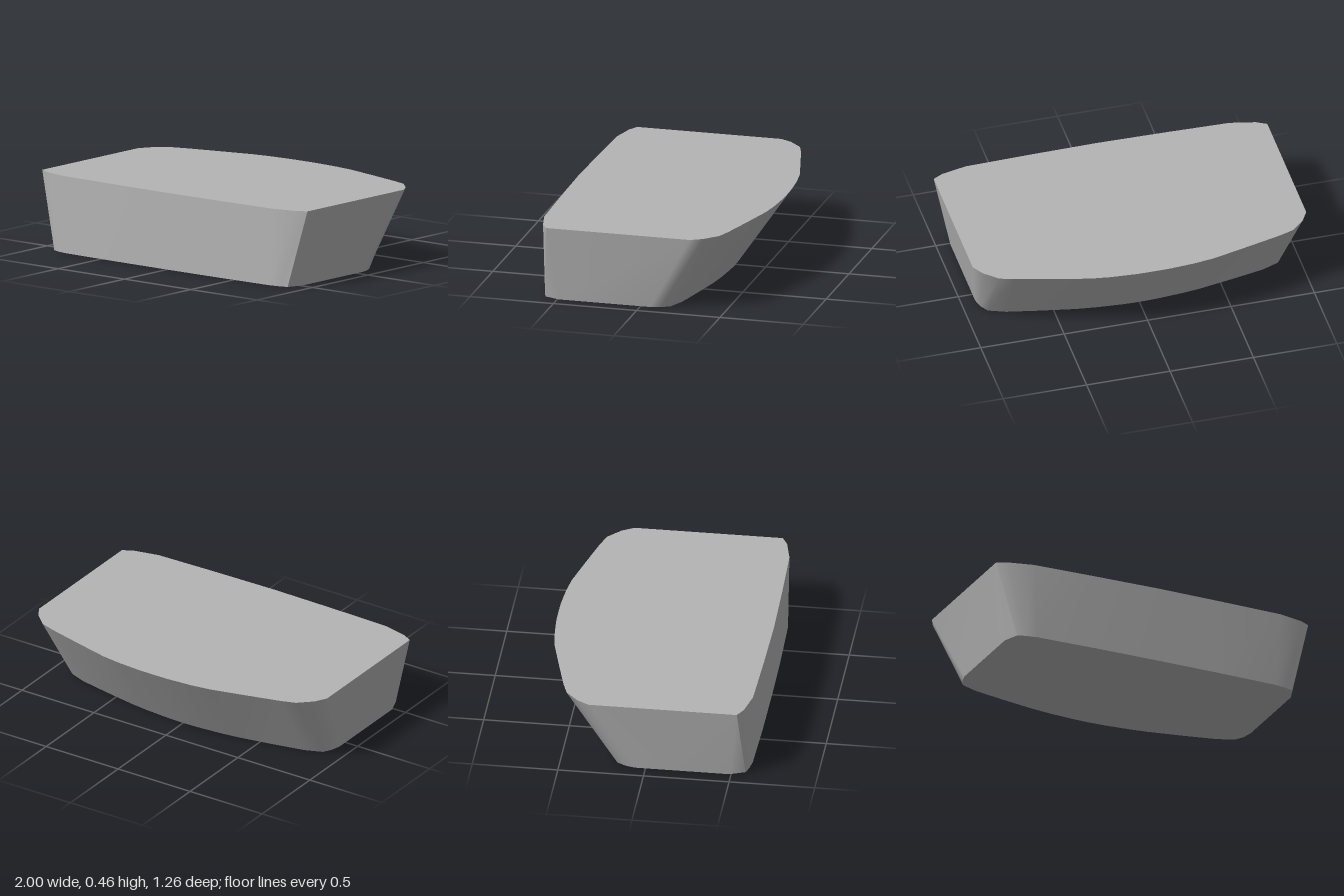
import * as THREE from 'three';
import { mergeVertices } from 'three/addons/utils/BufferGeometryUtils.js';

const HEIGHT = 0.455;

// Half outlines as matched stations: [topX, topZ, bottomX, bottomZ], front centre outward
const frontHalf = [
  [0, 0.628, 0, 0.617], [0.4, 0.622, 0.38, 0.615], [0.79, 0.612, 0.765, 0.607],
  [0.94, 0.578, 0.83, 0.596], [1, 0.545, 0.88, 0.58],
];
// From the front corner crease along the side to the back centre
const backHalf = [
  [1, 0.545, 0.88, 0.58], [1, 0.545, 0.915, 0.49], [1, -0.32, 0.915, -0.06],
  [0.96, -0.39, 0.9, -0.12], [0.88, -0.465, 0.87, -0.17], [0.79, -0.495, 0.77, -0.21],
  [0.6, -0.545, 0.58, -0.25], [0.37, -0.603, 0.37, -0.29], [0.25, -0.62, 0.25, -0.305],
  [0.1, -0.631, 0.1, -0.317], [0, -0.632, 0, -0.32],
];

const mirror = (half) => half.map(([a, b, c, d]) => [-a, b, -c, d]).reverse();
const topPoint = (s) => [s[0], HEIGHT, s[1]];
const bottomPoint = (s) => [s[2], 0, s[3]];

function geometryFrom(points, index) {
  const geometry = new THREE.BufferGeometry();
  geometry.setAttribute('position', new THREE.Float32BufferAttribute(points.flat(), 3));
  geometry.setIndex(index);
  const merged = mergeVertices(geometry);
  merged.computeVertexNormals();
  return merged;
}

// Smooth wall between the lower and upper outlines
function wall(stations) {
  const index = [];
  for (let i = 0; i < stations.length - 1; i++) {
    const b = i * 2;
    index.push(b, b + 2, b + 3, b, b + 3, b + 1);
  }
  return geometryFrom(stations.flatMap((s) => [bottomPoint(s), topPoint(s)]), index);
}

// Flat fan closing one outline
function cap(points, flip) {
  const index = [];
  for (let i = 1; i < points.length - 1; i++) {
    if (flip) index.push(0, i + 1, i);
    else index.push(0, i, i + 1);
  }
  return geometryFrom(points, index);
}

export function createModel() {
  const grey = new THREE.MeshStandardMaterial({ color: 0xb4b4b4 });
  grey.name = 'plain grey';
  const front = [...mirror(frontHalf).slice(0, -1), ...frontHalf];
  const back = [...backHalf, ...mirror(backHalf).slice(1)];
  const loop = [...front, ...back.slice(1, -1)];

  const group = new THREE.Group();
  group.name = 'taperedBlock';
  const add = (name, geometry) => {
    const mesh = new THREE.Mesh(geometry, grey);
    mesh.name = name;
    group.add(mesh);
  };
  add('frontWall', wall(front));
  add('sideAndBackWall', wall(back));
  add('topFace', cap(loop.map(topPoint), false));
  add('bottomFace', cap(loop.map(bottomPoint), true));
  return group;
}
